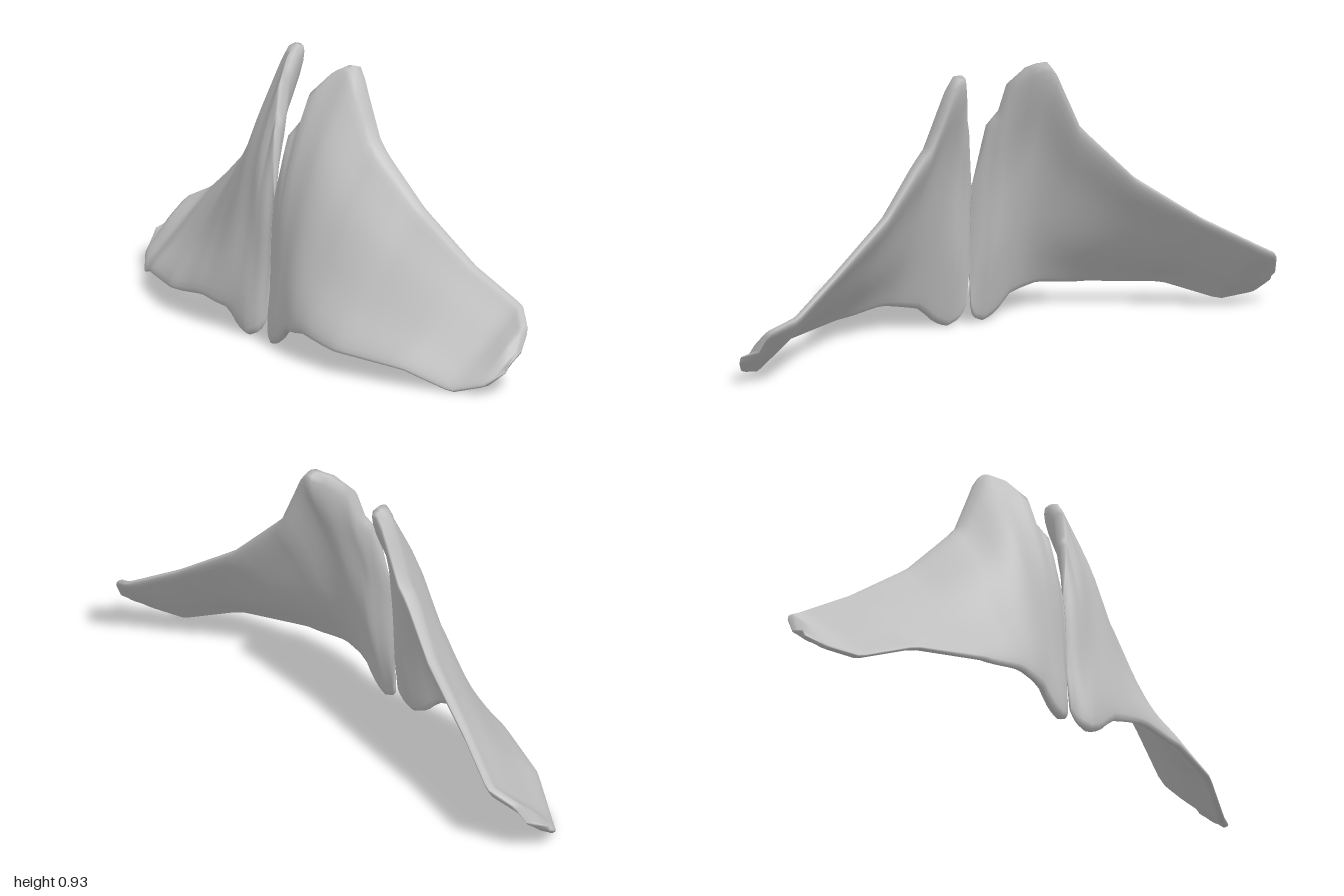
import * as THREE from 'three';

// Lower and upper outline of one blade as x, y from the midline outwards
const LOWER = [[0, 0.18], [0.01, 0.06], [0.03, 0.018], [0.07, 0], [0.115, 0.02], [0.165, 0.07],
  [0.29, 0.093], [0.42, 0.074], [0.71, 0.057], [0.87, 0], [0.96, 0.028], [1, 0.075]];
const UPPER = [[0, 0.48], [0.025, 0.62], [0.04, 0.71], [0.065, 0.74], [0.08, 0.84], [0.13, 0.925], [0.165, 0.942],
  [0.195, 0.9], [0.28, 0.71], [0.47, 0.51], [0.69, 0.355], [0.96, 0.2], [0.972, 0.135], [1, 0.1]];
// x, then front z at four heights from bottom to top, then thickness at bottom and top
const DEPTH = [
  [0, 0.165, 0.162, 0.158, 0.15, 0.004, 0.004],
  [0.03, 0.208, 0.182, 0.165, 0.14, 0.04, 0.045],
  [0.07, 0.232, 0.188, 0.163, 0.105, 0.068, 0.075],
  [0.15, 0.235, 0.185, 0.115, 0, 0.06, 0.115],
  [0.22, 0.25, 0.18, 0.105, -0.003, 0.05, 0.11],
  [0.32, 0.258, 0.165, 0.085, -0.015, 0.05, 0.1],
  [0.47, 0.25, 0.13, 0.028, -0.075, 0.05, 0.075],
  [0.69, 0.172, 0.055, -0.045, -0.135, 0.05, 0.06],
  [0.87, 0.07, -0.025, -0.12, -0.2, 0.052, 0.055],
  [0.96, 0, -0.055, -0.105, -0.158, 0.045, 0.05],
  [1, -0.072, -0.077, -0.08, -0.085, 0.006, 0.006],
];
const SECTIONS = 48;
const RING = 36;

// Row of a table at x, blended between its two neighbours
function rowAt(table, x) {
  const i = Math.max(1, table.findIndex((row) => row[0] >= x));
  const from = table[i - 1], to = table[i];
  const mix = (x - from[0]) / (to[0] - from[0]);
  return from.map((value, j) => THREE.MathUtils.lerp(value, to[j], mix));
}

// Closed shell of cross-sections: up the front face and down the back, rounded at both rims
function bladeGeometry(side) {
  const positions = [], index = [];
  for (let s = 0; s <= SECTIONS; s++) {
    // Sections are closer together towards both ends
    const x = s === SECTIONS ? 1 : (1 - Math.cos((s / SECTIONS) * Math.PI)) / 2;
    const bottom = rowAt(LOWER, x)[1], top = rowAt(UPPER, x)[1];
    const depth = rowAt(DEPTH, x);
    const profile = new THREE.SplineCurve(depth.slice(1, 5).map((z, i) => new THREE.Vector2(i / 3, z)));
    for (let k = 0; k < RING; k++) {
      const angle = (k / RING) * Math.PI * 2;
      const t = (1 - Math.cos(angle)) / 2;
      const thick = THREE.MathUtils.lerp(depth[5], depth[6], t);
      const bulge = Math.sign(Math.sin(angle)) * Math.sqrt(Math.abs(Math.sin(angle)));
      const z = profile.getPoint(t).y + (bulge - 1) * thick / 2;
      positions.push(side * x, bottom + (top - bottom) * t, z);
    }
  }
  const face = (a, b, c) => (side > 0 ? index.push(a, b, c) : index.push(a, c, b));
  for (let s = 0; s < SECTIONS; s++) {
    for (let k = 0; k < RING; k++) {
      const a = s * RING + k, b = s * RING + (k + 1) % RING;
      face(a, a + RING, b);
      face(b, a + RING, b + RING);
    }
  }
  // Close the thin inner and outer ends
  const last = SECTIONS * RING;
  for (let k = 1; k < RING - 1; k++) {
    face(0, k, k + 1);
    face(last, last + k + 1, last + k);
  }
  const geometry = new THREE.BufferGeometry();
  geometry.setAttribute('position', new THREE.Float32BufferAttribute(positions, 3));
  geometry.setIndex(index);
  geometry.computeVertexNormals();
  return geometry;
}

export function createModel() {
  const group = new THREE.Group();
  group.name = 'pairedBlades';
  const grey = new THREE.MeshStandardMaterial({ color: 0xc0c0c0 });
  grey.name = 'plain grey';
  for (const [name, side] of [['leftBlade', 1], ['rightBlade', -1]]) {
    const blade = new THREE.Mesh(bladeGeometry(side), grey);
    blade.name = name;
    group.add(blade);
  }
  return group;
}
